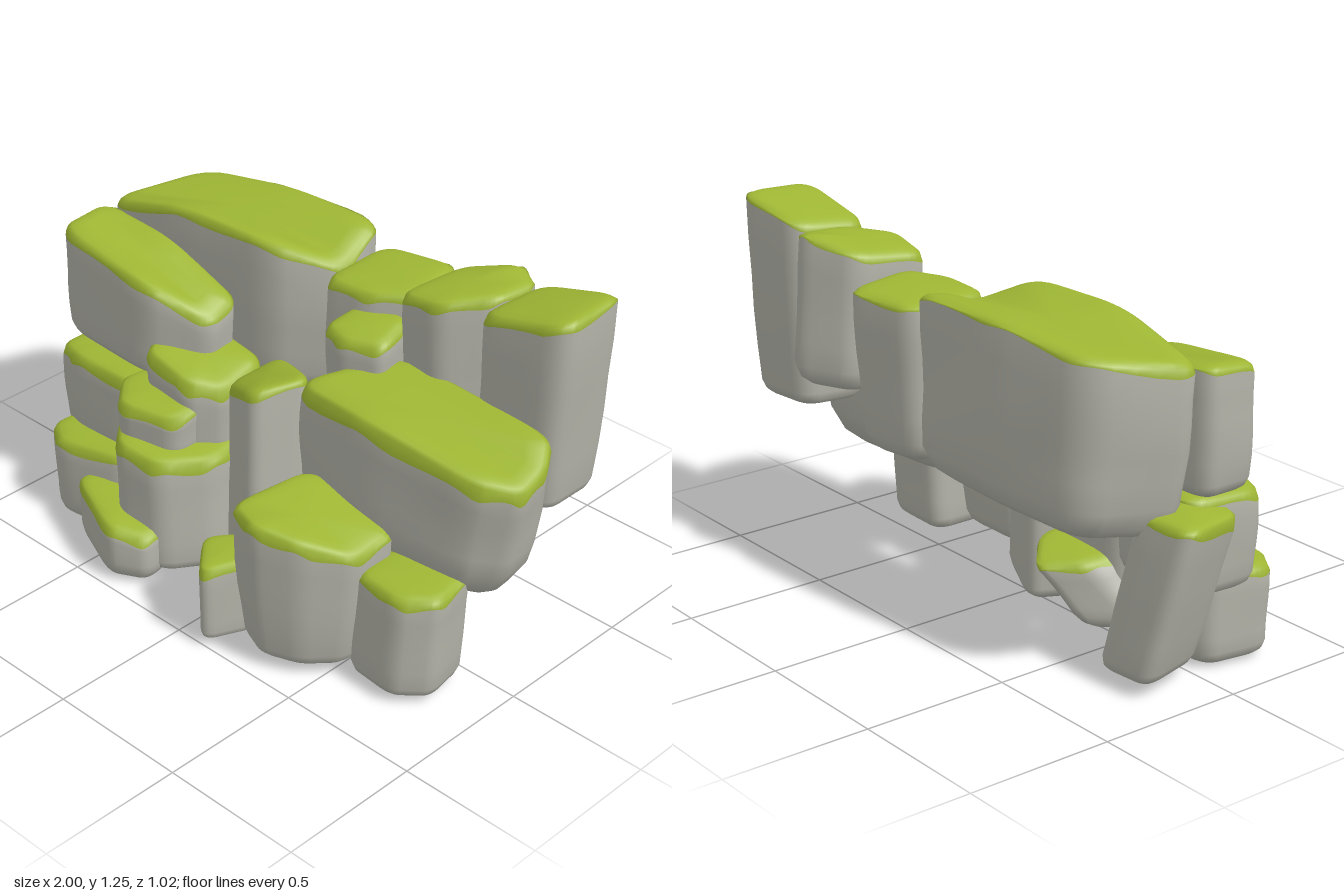
import * as THREE from 'three';

const stone = new THREE.MeshStandardMaterial({ color: 0xb2b2a8 });
stone.name = 'grey stone';
const grass = new THREE.MeshStandardMaterial({ color: 0x9eb634 });
grass.name = 'moss green';

// Round the corners of a polygon of [x, z, topHeight] points
function roundLoop(corners) {
  const area = corners.reduce((s, p, i) => {
    const q = corners[(i + 1) % corners.length];
    return s + p[0] * q[1] - q[0] * p[1];
  }, 0);
  const c = (area > 0 ? [...corners].reverse() : corners).map(p => new THREE.Vector3(p[0], p[2], p[1]));
  const loop = [];
  c.forEach((p, i) => {
    const next = c[(i + 1) % c.length];
    const a = p.clone().lerp(c[(i + c.length - 1) % c.length], 0.24);
    const b = p.clone().lerp(next, 0.24);
    const mid = p.clone().lerp(a.clone().add(b).multiplyScalar(0.5), 0.06);
    const curve = new THREE.QuadraticBezierCurve3(a, mid, b);
    for (let k = 0; k <= 5; k++) loop.push(curve.getPoint(k / 5));
    const e = next.clone().lerp(p, 0.24);
    loop.push(b.clone().lerp(e, 0.33), b.clone().lerp(e, 0.67));
  });
  return loop;
}

// Least-squares plane through the loop, giving the mean slope of a top
function fitPlane(loop, avg) {
  let xx = 0, xz = 0, zz = 0, xy = 0, zy = 0;
  const mx = loop.reduce((s, p) => s + p.x, 0) / loop.length;
  const mz = loop.reduce((s, p) => s + p.z, 0) / loop.length;
  for (const p of loop) {
    const x = p.x - mx, z = p.z - mz, y = p.y - avg;
    xx += x * x; xz += x * z; zz += z * z; xy += x * y; zy += z * y;
  }
  const det = xx * zz - xz * xz;
  const a = (xy * zz - zy * xz) / det, b = (zy * xx - xy * xz) / det;
  return (x, z) => avg + a * (x - mx) + b * (z - mz);
}

// Boulder: rounded footprint lofted from its base up to a sloping mossy top
function boulder(name, corners, base, o = {}) {
  const { taper = 0.9, dx = 0, dz = 0, slope = 0, moss = 0.03, r = 0.035, rb = 0.045 } = o;
  const loop = roundLoop(corners), n = loop.length;
  const box = new THREE.Box3().setFromPoints(loop);
  const mid = box.getCenter(new THREE.Vector3());
  const half = box.getSize(new THREE.Vector3()).multiplyScalar(0.5);
  const avg = loop.reduce((s, p) => s + p.y, 0) / n;
  const plane = fitPlane(loop, avg);
  const seed = corners[0][0] * 9 + corners[0][1] * 17;

  // Each ring: [height fraction, height offset, inset]
  const rings = [[0, 0, rb], [0, rb * 0.1, rb * 0.6], [0, rb * 0.4, rb * 0.22], [0, rb, 0]];
  for (const f of [0.2, 0.4, 0.6, 0.8]) rings.push([f, 0, 0]);
  const mossRing = rings.length;
  rings.push([1, -moss, 0], [1, -r * 0.4, r * 0.22], [1, -r * 0.12, r * 0.6], [1, 0, r * 1.2], [1, 0.003, r * 2]);

  const pos = [];
  rings.forEach(([f, off, inset], ring) => loop.forEach((p, j) => {
    const ux = p.x - mid.x, uz = p.z - mid.z;
    const sx = 1 - inset / half.x, sz = 1 - inset / half.z;
    const bend = (p.y - plane(p.x, p.z)) * Math.min(sx, sz);
    // The moss hangs lower on the front and in an uneven line
    const hang = ring === mossRing ? 1 + 0.2 * Math.sin(j * 0.9 + seed) + 0.3 * uz / half.z : 1;
    const top = f === 1 ? plane(mid.x + ux * sx, mid.z + uz * sz) + bend + off * hang : p.y - moss;
    const low = base + slope * ux + (f === 0 ? off : rb);
    const y = THREE.MathUtils.lerp(low, top, f);
    const t = THREE.MathUtils.clamp((y - base) / (p.y - base), 0, 1);
    const shrink = 1 - (1 - taper) * (1 - t) ** 1.8;
    const lump = 1 + 0.03 * Math.sin(y * 9 + ux * 7 + seed) * Math.sin(uz * 11 + y * 5 + seed) * Math.sin(Math.PI * t);
    pos.push(
      mid.x + dx * (1 - t) + ux * shrink * lump * sx,
      y,
      mid.z + dz * (1 - t) + uz * shrink * lump * sz);
  }));
  const bottom = pos.length / 3, crown = bottom + 1;
  pos.push(mid.x + dx, base, mid.z + dz, mid.x, plane(mid.x, mid.z) + 0.006, mid.z);

  const idx = [];
  for (let j = 0; j < n; j++) idx.push((j + 1) % n, j, bottom);
  let stoneCount = 0;
  for (let i = 0; i < rings.length - 1; i++) {
    if (i === mossRing) stoneCount = idx.length;
    for (let j = 0; j < n; j++) {
      const a = i * n + j, b = i * n + (j + 1) % n;
      idx.push(a, b, b + n, a, b + n, a + n);
    }
  }
  const last = (rings.length - 1) * n;
  for (let j = 0; j < n; j++) idx.push(last + j, last + (j + 1) % n, crown);

  const g = new THREE.BufferGeometry();
  g.setAttribute('position', new THREE.Float32BufferAttribute(pos, 3));
  g.setIndex(idx);
  g.addGroup(0, stoneCount, 0);
  g.addGroup(stoneCount, idx.length - stoneCount, 1);
  g.computeVertexNormals();
  const mesh = new THREE.Mesh(g, [stone, grass]);
  mesh.name = name;
  return mesh;
}

export function createModel() {
  const group = new THREE.Group();
  group.name = 'mossyCliff';
  const add = (...args) => group.add(boulder(...args));

  // Upper back row
  add('backRightSlab', [[-0.93, -0.07, 1.04], [-0.78, -0.41, 1.09], [-0.4, -0.46, 1.14], [-0.02, -0.47, 1.14],
    [0.01, -0.26, 1.05], [-0.16, -0.08, 1.15], [-0.55, -0.06, 1.15]], 0.52,
    { taper: 0.93, dx: 0.0, dz: -0.02, slope: 0.04, rb: 0.1 });
  add('backMiddleBlock', [[0.0, -0.46, 1.07], [0.29, -0.51, 1.08], [0.34, -0.24, 1.09], [0.2, -0.15, 1.08], [0.01, -0.15, 1.07]],
    0.53, { taper: 0.9, dz: 0.02, rb: 0.07 });
  add('backLeftBlock', [[0.32, -0.16, 1.13], [0.37, -0.41, 1.15], [0.56, -0.49, 1.2], [0.65, -0.44, 1.18], [0.63, -0.28, 1.18], [0.5, -0.14, 1.16]],
    0.68, { taper: 1.04, dz: -0.03, rb: 0.07 });
  add('tallLeftColumn', [[0.63, -0.17, 1.17], [0.67, -0.44, 1.19], [0.97, -0.47, 1.26], [0.97, -0.18, 1.25]],
    0.55, { taper: 0.88, dx: -0.02 });
  add('smallLedgeStone', [[0.12, -0.04, 0.99], [0.14, -0.24, 1.02], [0.34, -0.22, 1.02], [0.36, -0.06, 0.98], [0.22, -0.01, 0.98]],
    0.7);

  // Middle tier
  add('upperRightBlock', [[-0.93, 0.15, 1.02], [-0.93, -0.07, 1.04], [-0.6, -0.08, 1.02], [-0.3, -0.08, 0.9],
    [-0.29, 0.06, 0.86], [-0.48, 0.18, 0.98]], 0.61, { taper: 0.96 });
  add('wideLeftBlock', [[0.15, 0.13, 0.86], [0.31, -0.2, 0.9], [0.94, -0.2, 0.87], [1.0, -0.1, 0.81], [1.01, 0.02, 0.78],
    [0.9, 0.12, 0.81], [0.5, 0.16, 0.87]], 0.33, { taper: 0.91, dx: -0.05, slope: -0.04, moss: 0.045, rb: 0.13 });
  add('centreColumn', [[-0.12, -0.1, 0.75], [0.16, 0.04, 0.84], [0.05, 0.23, 0.81], [-0.2, 0.08, 0.68]],
    0.01, { taper: 1.12, dx: 0.04, dz: 0.04, slope: 0.05 });
  add('middleWedge', [[-0.48, 0.2, 0.76], [-0.46, -0.08, 0.77], [-0.17, -0.08, 0.72], [-0.16, 0.12, 0.68], [-0.25, 0.21, 0.71]],
    0.4, { moss: 0.04 });
  add('rightShelfStone', [[-0.9, 0.19, 0.6], [-0.88, -0.08, 0.61], [-0.49, -0.08, 0.62], [-0.49, 0.23, 0.61], [-0.78, 0.23, 0.61]],
    0.27, { taper: 0.94, moss: 0.035 });
  add('shelfStone', [[-0.56, 0.22, 0.62], [-0.51, 0.04, 0.64], [-0.22, 0.06, 0.64], [-0.23, 0.28, 0.6], [-0.45, 0.34, 0.61]],
    0.42, { moss: 0.035 });
  add('outerRightLeaner', [[-1.02, -0.2, 0.58], [-0.78, -0.22, 0.59], [-0.68, 0.04, 0.6], [-0.95, 0.08, 0.56]],
    0.04, { dx: 0.12, dz: -0.06, taper: 0.95, moss: 0.04 });

  // Bottom tier
  add('rightPillar', [[-0.52, 0.28, 0.49], [-0.47, 0.0, 0.5], [-0.15, -0.02, 0.48], [-0.13, 0.2, 0.46], [-0.24, 0.36, 0.47], [-0.42, 0.38, 0.49]],
    0.03, { taper: 0.98, dx: 0.01, moss: 0.04 });
  add('lowerRightBlock', [[-0.88, 0.26, 0.32], [-0.84, 0.02, 0.33], [-0.48, 0.02, 0.35], [-0.47, 0.28, 0.34], [-0.77, 0.34, 0.32]],
    0.01, { taper: 0.97 });
  add('frontRightStone', [[-0.67, 0.35, 0.23], [-0.6, 0.2, 0.24], [-0.27, 0.22, 0.22], [-0.24, 0.41, 0.19], [-0.37, 0.48, 0.22]],
    0.01, { taper: 0.98 });
  add('hiddenBackStone', [[-0.42, 0.15, 0.28], [-0.4, -0.08, 0.25], [-0.27, -0.21, 0.23], [-0.13, -0.08, 0.28], [-0.16, 0.15, 0.3]],
    0.02, { taper: 1.25, dx: -0.12, dz: 0.16 });
  add('frontLeftBoulder', [[0.17, 0.43, 0.56], [0.23, 0.11, 0.58], [0.6, 0.11, 0.5], [0.6, 0.3, 0.48], [0.48, 0.43, 0.54], [0.32, 0.49, 0.57]],
    0.04, { taper: 0.81, dx: -0.01, moss: 0.035 });
  add('lowerLeftBlock', [[0.56, 0.28, 0.42], [0.56, 0.01, 0.42], [0.84, 0.02, 0.42], [0.87, 0.21, 0.41], [0.77, 0.3, 0.41]],
    0.02, { taper: 1.0, dx: -0.02, dz: 0.01 });
  add('smallFrontStone', [[0.11, 0.23, 0.32], [0.22, 0.34, 0.32], [0.13, 0.53, 0.31], [-0.02, 0.37, 0.31]],
    0.03, { taper: 1.0, r: 0.025, rb: 0.03 });
  return group;
}
